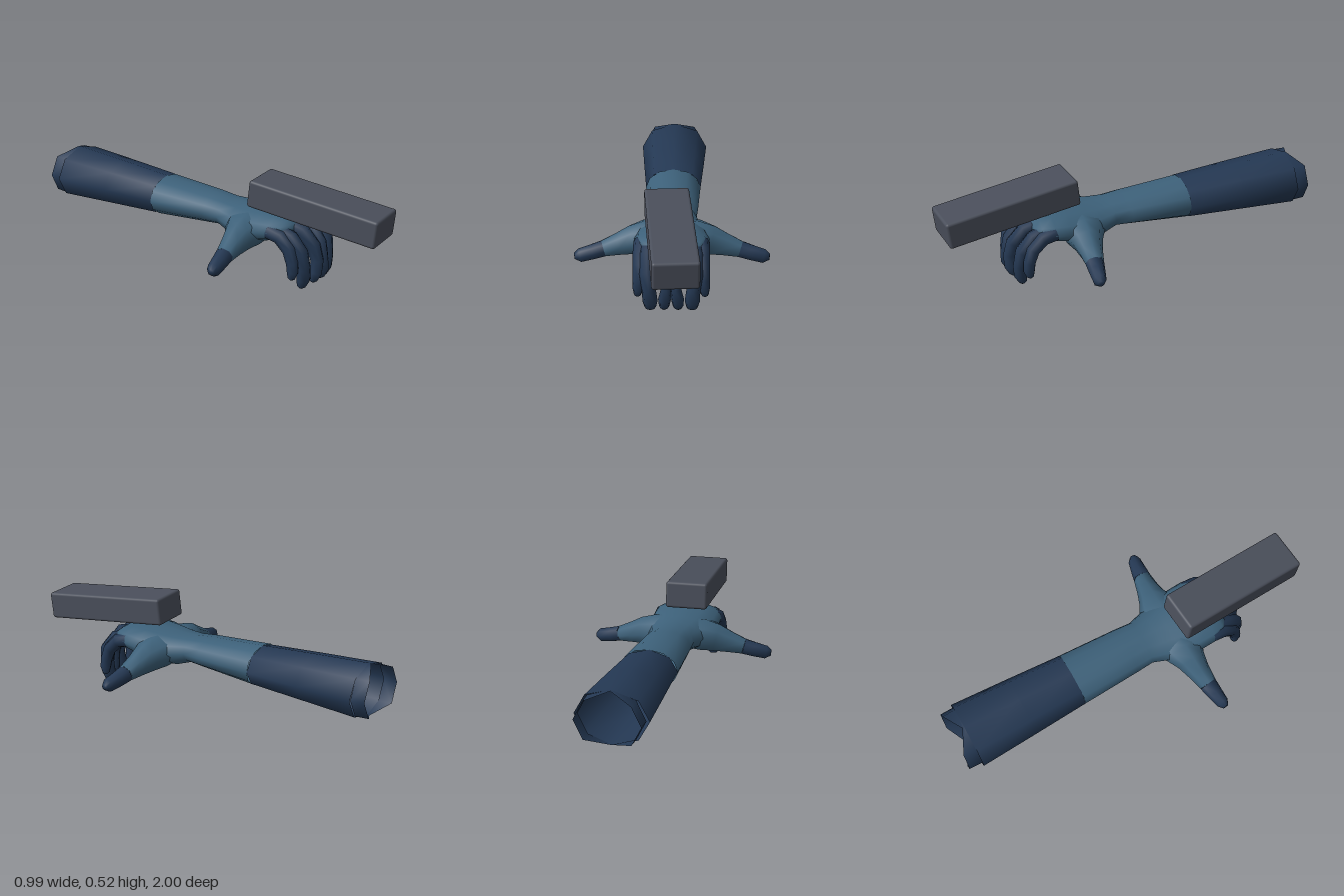
import * as THREE from 'three';
import { RoundedBoxGeometry } from 'three/addons/geometries/RoundedBoxGeometry.js';

const material = (name, color, side = THREE.DoubleSide) => {
  const m = new THREE.MeshStandardMaterial({ color, side });
  m.name = name;
  return m;
};

// Sweeps an ellipse through rings [x, y, z, radius along ref, radius across]
function sweep(rings, ref, sides = 8, capped = false) {
  const centres = rings.map(r => new THREE.Vector3(r[0], r[1], r[2]));
  const pos = [], index = [];
  rings.forEach((r, i) => {
    const t = centres[Math.min(i + 1, rings.length - 1)].clone()
      .sub(centres[Math.max(i - 1, 0)]).normalize();
    const u = ref.clone().addScaledVector(t, -ref.dot(t)).normalize();
    const v = t.clone().cross(u);
    for (let j = 0; j < sides; j++) {
      const a = j / sides * Math.PI * 2;
      const p = centres[i].clone().addScaledVector(u, Math.cos(a) * r[3])
        .addScaledVector(v, Math.sin(a) * r[4]);
      pos.push(p.x, p.y, p.z);
      if (i < rings.length - 1) {
        const k = (j + 1) % sides, o = i * sides, n = o + sides;
        index.push(o + j, o + k, n + j, o + k, n + k, n + j);
      }
    }
  });
  if (capped) {
    const o = (rings.length - 1) * sides;
    pos.push(...centres[rings.length - 1].toArray());
    for (let j = 0; j < sides; j++) index.push(o + j, o + (j + 1) % sides, o + sides);
  }
  const g = new THREE.BufferGeometry();
  g.setAttribute('position', new THREE.Float32BufferAttribute(pos, 3));
  g.setIndex(index);
  g.computeVertexNormals();
  return g;
}

export function createModel() {
  const model = new THREE.Group();
  const teal = material('teal glove', 0x3d617a);
  const navy = material('navy fabric', 0x243853);
  const grey = material('dark grey', 0x4a4f5b, THREE.FrontSide);
  const X = new THREE.Vector3(1, 0, 0), Z = new THREE.Vector3(0, 0, 1);
  const add = (name, geometry, mat) => {
    const mesh = new THREE.Mesh(geometry, mat);
    mesh.name = name;
    model.add(mesh);
    return mesh;
  };

  // Sleeve, forearm and palm: [z, half width, bottom, top]
  const body = rows => rows.map(([z, w, b, t]) => [0, (b + t) / 2, z, w, (t - b) / 2]);
  add('sleeve', sweep(body([
    [-0.93, 0.185, 0.13, 0.41], [-0.62, 0.167, 0.147, 0.39], [-0.32, 0.148, 0.163, 0.368],
  ]), X), navy);
  add('forearmAndPalm', sweep(body([
    [-0.32, 0.148, 0.163, 0.368], [0, 0.132, 0.19, 0.347], [0.09, 0.125, 0.197, 0.337],
    [0.17, 0.15, 0.17, 0.337], [0.25, 0.175, 0.16, 0.342], [0.36, 0.188, 0.185, 0.35],
    [0.44, 0.188, 0.21, 0.352], [0.5, 0.165, 0.235, 0.34], [0.53, 0.13, 0.265, 0.32],
  ]), X, 12, true), teal);

  // Hem with a notch at the top and bottom of its open end
  const hem = sweep(body([[-1, 0.165, 0.135, 0.408], [-0.925, 0.167, 0.131, 0.409]]), X);
  const p = hem.attributes.position;
  [2, 6].forEach(i => p.setZ(i, -0.94));
  hem.computeVertexNormals();
  add('sleeveHem', hem, navy);

  // Curled fingers, as [x, y, z, half width, half depth]
  const fingers = {
    innerFinger: [
      [0.045, 0.295, 0.46, 0.04, 0.04], [0.04, 0.27, 0.56, 0.037, 0.043],
      [0.028, 0.2, 0.618, 0.034, 0.042], [0.022, 0.13, 0.638, 0.027, 0.037],
      [0.032, 0.07, 0.636, 0.031, 0.036], [0.034, 0.03, 0.625, 0.025, 0.024],
      [0.034, 0.018, 0.62, 0.014, 0.014],
    ],
    middleFinger: [
      [0.115, 0.285, 0.45, 0.04, 0.04], [0.12, 0.26, 0.54, 0.037, 0.042],
      [0.117, 0.19, 0.598, 0.038, 0.042], [0.108, 0.11, 0.613, 0.034, 0.037],
      [0.103, 0.05, 0.61, 0.037, 0.035], [0.102, 0.012, 0.6, 0.028, 0.022],
      [0.102, 0.002, 0.597, 0.016, 0.012],
    ],
    outerFinger: [
      [0.15, 0.28, 0.43, 0.038, 0.038], [0.152, 0.265, 0.5, 0.037, 0.038],
      [0.154, 0.21, 0.555, 0.034, 0.036], [0.158, 0.145, 0.578, 0.03, 0.033],
      [0.162, 0.1, 0.582, 0.026, 0.03], [0.165, 0.07, 0.578, 0.018, 0.02],
      [0.165, 0.062, 0.576, 0.01, 0.01],
    ],
  };

  // Thumbs, as [x, y, z, half depth, half height]
  const thumb = [
    [0.06, 0.25, 0.27, 0.13, 0.08], [0.13, 0.24, 0.275, 0.115, 0.085],
    [0.2, 0.225, 0.28, 0.08, 0.078], [0.27, 0.205, 0.288, 0.061, 0.06],
    [0.345, 0.185, 0.298, 0.048, 0.043],
  ];
  const thumbTip = [
    [0.345, 0.185, 0.298, 0.048, 0.043], [0.4, 0.17, 0.307, 0.042, 0.041],
    [0.465, 0.155, 0.318, 0.034, 0.038], [0.492, 0.153, 0.322, 0.016, 0.016],
  ];

  for (const s of [1, -1]) {
    const side = s > 0 ? 'left' : 'right';
    const mirror = rings => rings.map(([x, ...rest]) => [s * x, ...rest]);
    for (const [name, rings] of Object.entries(fingers))
      add(`${side} ${name}`, sweep(mirror(rings), X, 8, true), navy);
    add(`${side} thumb`, sweep(mirror(thumb), Z), teal);
    add(`${side} thumbTip`, sweep(mirror(thumbTip), Z, 8, true), navy);
  }

  // Tilted block resting over the hand
  const block = add('block', new RoundedBoxGeometry(0.223, 0.142, 0.71, 3, 0.014), grey);
  block.position.set(0, 0.405, 0.635);
  block.rotation.set(0.113, 0.077, 0, 'YXZ');

  return model;
}
